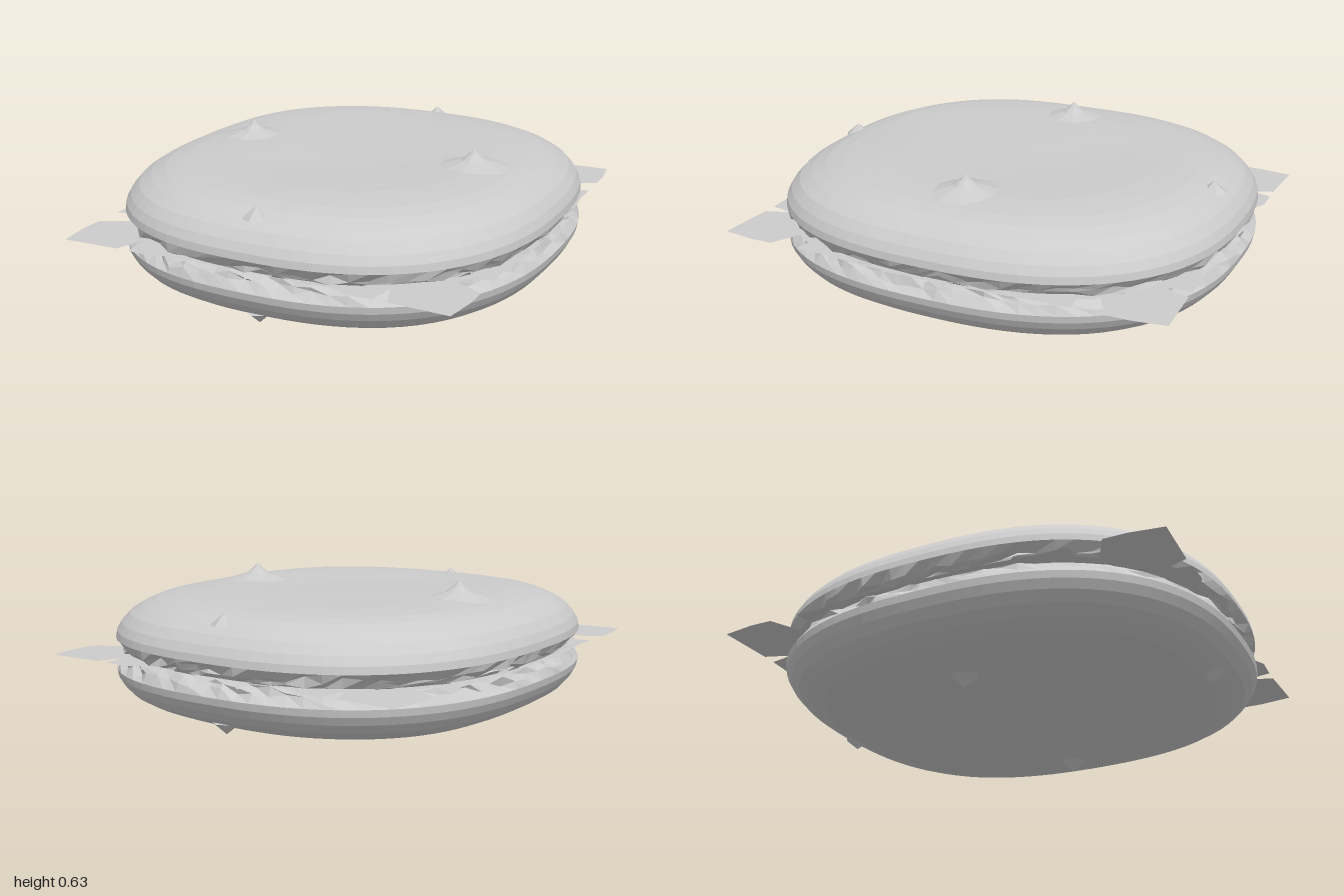
import * as THREE from 'three';

const SEAM_Y = 0.32;
const SEGMENTS = 88;

// Small repeatable noise in -1..1
const noise = (a, b) => {
  const v = Math.sin(a * 127.1 + b * 311.7) * 43758.5453;
  return 2 * (v - Math.floor(v)) - 1;
};

// Rounded, nearly square outline of the cushion
function outline(angle) {
  const c = Math.cos(angle), s = Math.sin(angle);
  const r = Math.pow(Math.pow(Math.abs(c) / 0.93, 2.5) + Math.pow(Math.abs(s), 2.5), -1 / 2.5);
  return [c * r, s * r];
}

// Half-section from the middle to the seam: [fraction of outline, height above seam]
const SECTION = [
  [0, 0.238], [0.1, 0.238], [0.2, 0.239], [0.3, 0.241], [0.4, 0.244], [0.5, 0.247],
  [0.6, 0.247], [0.68, 0.243], [0.76, 0.236], [0.83, 0.222], [0.89, 0.198], [0.94, 0.168],
  [0.975, 0.13], [0.995, 0.095], [1, 0.065], [0.985, 0.035], [0.965, 0.015], [0.94, 0],
];

// Padded half: side is 1 for the upper one, -1 for the lower one
function halfGeometry(side) {
  const pos = [], index = [];
  const rows = SECTION.length;
  SECTION.forEach(([f, h], row) => {
    for (let i = 0; i < SEGMENTS; i++) {
      const [ox, oz] = outline((i / SEGMENTS) * Math.PI * 2);
      const puckered = row === rows - 2 || row === rows - 3;
      const k = f + (puckered ? 0.02 * noise(i, row * side) - 0.01 : 0);
      const x = ox * k, z = oz * k;
      // gentle dents in the broad faces
      const dent = f < 0.9 ? 0.007 * Math.cos(x * 5 + 1) * Math.cos(z * 6) * (1 - f * f) : 0;
      const pucker = puckered ? 0.014 * noise(i + 40, row * side) : 0;
      pos.push(x, SEAM_Y + side * Math.max(0, h + dent + pucker), z);
    }
  });
  for (let row = 0; row < rows - 1; row++) {
    for (let i = 0; i < SEGMENTS; i++) {
      const j = (i + 1) % SEGMENTS;
      const a = row * SEGMENTS + i, b = row * SEGMENTS + j;
      const c = a + SEGMENTS, d = b + SEGMENTS;
      if (side > 0) index.push(a, b, d, a, d, c);
      else index.push(a, d, b, a, c, d);
    }
  }
  const g = new THREE.BufferGeometry();
  g.setAttribute('position', new THREE.Float32BufferAttribute(pos, 3));
  g.setIndex(index);
  g.computeVertexNormals();
  return g;
}

// One quarter of the ragged cloth edge, from the side round to the front
const EDGE = [
  [0.9, 0.0], [0.89, 0.3], [0.87, 0.5], [0.87, 0.61], [0.8, 0.6], [0.75, 0.68], [0.87, 0.74],
  [0.87, 0.84], [0.85, 0.98], [0.6, 0.97], [0.56, 0.86], [0.54, 0.97], [0.43, 0.975],
  [0.36, 0.94], [0.2, 0.95], [0, 0.95],
];

function seamGeometry() {
  const pts = [];
  const quarters = [[1, 1], [-1, 1], [-1, -1], [1, -1]];
  quarters.forEach(([sx, sz], q) => {
    const run = q % 2 ? [...EDGE].reverse() : EDGE;
    // shape y becomes -z after laying the sheet flat
    run.slice(0, -1).forEach(([x, z]) => pts.push(new THREE.Vector2(sx * x, -sz * z)));
  });
  return new THREE.ShapeGeometry(new THREE.Shape(pts)).rotateX(-Math.PI / 2);
}

// Short folded tabs of cloth peeking out between the halves
function ruffleGeometry() {
  const pos = [];
  const count = 44;
  for (let i = 0; i < count; i++) {
    const mid = ((i + 0.3 * noise(i, 3)) / count) * Math.PI * 2;
    const half = 0.05 + 0.02 * noise(i, 5);
    const a = outline(mid - half), b = outline(mid), c = outline(mid + half);
    const lift = 0.028 * noise(i, 7);
    const out = 0.985 + 0.015 * noise(i, 9);
    pos.push(a[0] * 0.95, SEAM_Y, a[1] * 0.95);
    pos.push(b[0] * out, SEAM_Y + lift, b[1] * out);
    pos.push(c[0] * 0.95, SEAM_Y, c[1] * 0.95);
  }
  const g = new THREE.BufferGeometry();
  g.setAttribute('position', new THREE.Float32BufferAttribute(pos, 3));
  g.computeVertexNormals();
  return g;
}

export function createModel() {
  const model = new THREE.Group();
  model.name = 'cushion';
  const padding = new THREE.MeshStandardMaterial({ color: 0xcccccc, flatShading: true });
  const cloth = new THREE.MeshStandardMaterial({
    color: 0xcccccc, flatShading: true, side: THREE.DoubleSide,
  });

  const add = (name, geometry, material) => {
    const mesh = new THREE.Mesh(geometry, material);
    mesh.name = name;
    model.add(mesh);
    return mesh;
  };

  add('upperHalf', halfGeometry(1), padding);
  add('lowerHalf', halfGeometry(-1), padding);
  add('seamCloth', seamGeometry(), cloth).position.y = SEAM_Y;
  add('seamRuffles', ruffleGeometry(), cloth);

  // Pinched points: a flared peak on each side, a smaller one at front and back
  const peak = new THREE.LatheGeometry(
    [[0.17, -0.012], [0.11, 0.005], [0.055, 0.022], [0.025, 0.044], [0, 0.07]]
      .map(([r, y]) => new THREE.Vector2(r, y)), 10);
  const smallPeak = new THREE.ConeGeometry(0.06, 0.05, 6).translate(0, 0.025, 0);
  for (const side of [1, -1]) {
    for (const end of [1, -1]) {
      const p = add('sidePinch', peak, cloth);
      p.position.set(end * 0.54, SEAM_Y + side * 0.245, 0);
      const q = add('endPinch', smallPeak, cloth);
      q.position.set(0, SEAM_Y + side * 0.192, end * 0.865);
      if (side < 0) {
        p.rotation.x = Math.PI;
        q.rotation.x = Math.PI;
      }
    }
  }
  return model;
}
